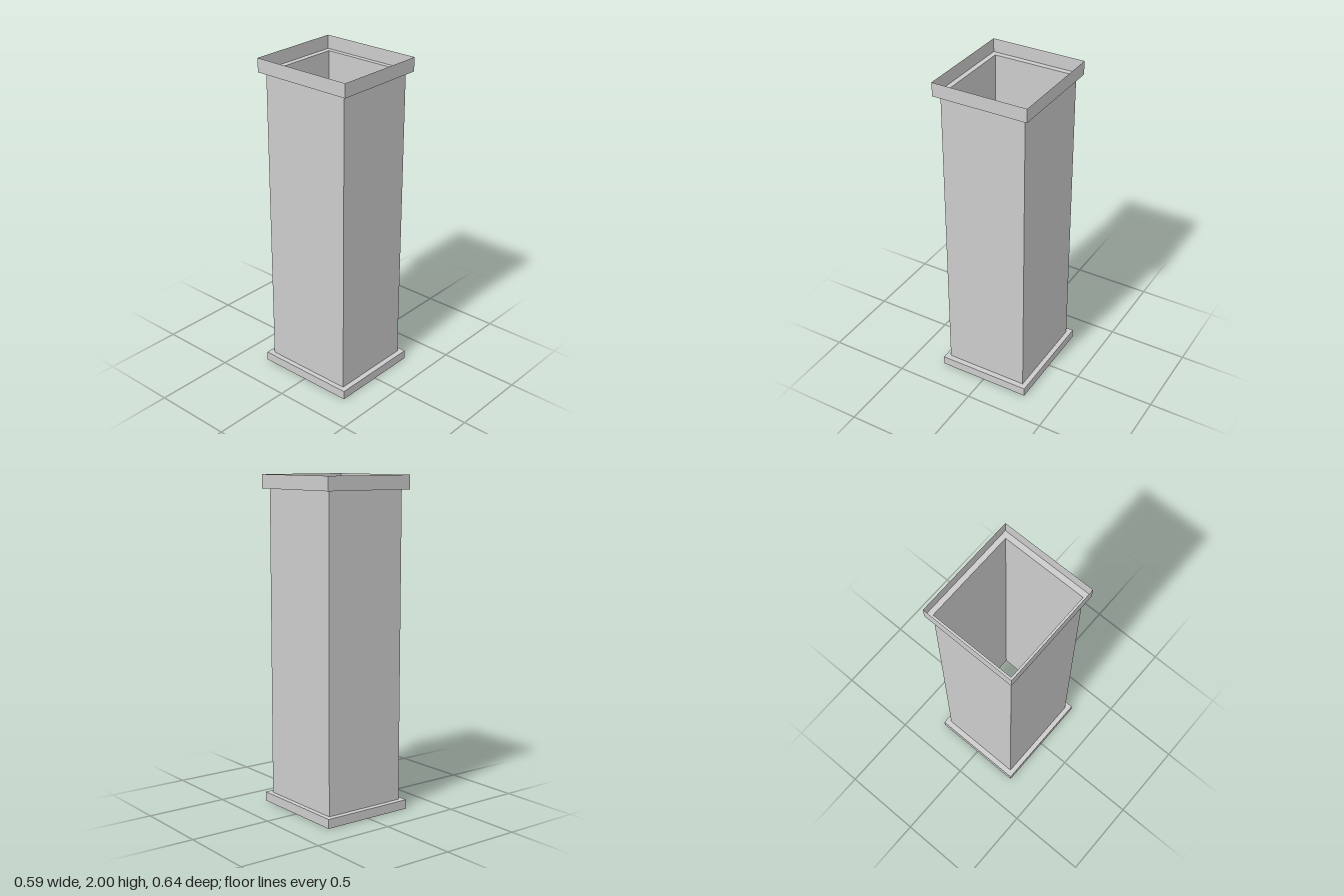
import * as THREE from 'three';

const material = new THREE.MeshStandardMaterial({
  color: 0xcccccc, flatShading: true, side: THREE.DoubleSide,
});

// Half-sizes [x, z] of the shaft and of the wider collars
const SHAFT = [0.263, 0.288];
const COLLAR = [0.294, 0.3225];

// Sheet walls joining rectangular sections, each { size: [halfX, halfZ], y }, listed bottom to top
function rectSkin(name, sections) {
  const corners = [[1, 1], [1, -1], [-1, -1], [-1, 1]];
  const point = ({ size, y }, i) => {
    const [sx, sz] = corners[i % 4];
    return [sx * size[0], y, sz * size[1]];
  };
  const positions = [];
  for (let s = 0; s < sections.length - 1; s++) {
    for (let i = 0; i < 4; i++) {
      const a = point(sections[s], i), b = point(sections[s], i + 1);
      const c = point(sections[s + 1], i + 1), d = point(sections[s + 1], i);
      positions.push(...a, ...b, ...c, ...a, ...c, ...d);
    }
  }
  const geometry = new THREE.BufferGeometry();
  geometry.setAttribute('position', new THREE.Float32BufferAttribute(positions, 3));
  geometry.computeVertexNormals();
  const mesh = new THREE.Mesh(geometry, material);
  mesh.name = name;
  return mesh;
}

export function createModel() {
  const group = new THREE.Group();
  group.name = 'hollowColumn';
  const baseTop = 0.056, capBottom = 1.917, height = 2;

  group.add(
    // Open skirt with a ledge running in to the shaft
    rectSkin('baseCollar', [
      { size: COLLAR, y: 0 }, { size: COLLAR, y: baseTop }, { size: SHAFT, y: baseTop },
    ]),
    // Hollow shaft, open at both ends
    rectSkin('shaft', [
      { size: SHAFT, y: baseTop }, { size: SHAFT, y: capBottom },
    ]),
    // Ledge running out to an upright open rim
    rectSkin('topCollar', [
      { size: SHAFT, y: capBottom }, { size: COLLAR, y: capBottom }, { size: COLLAR, y: height },
    ]),
  );
  return group;
}
